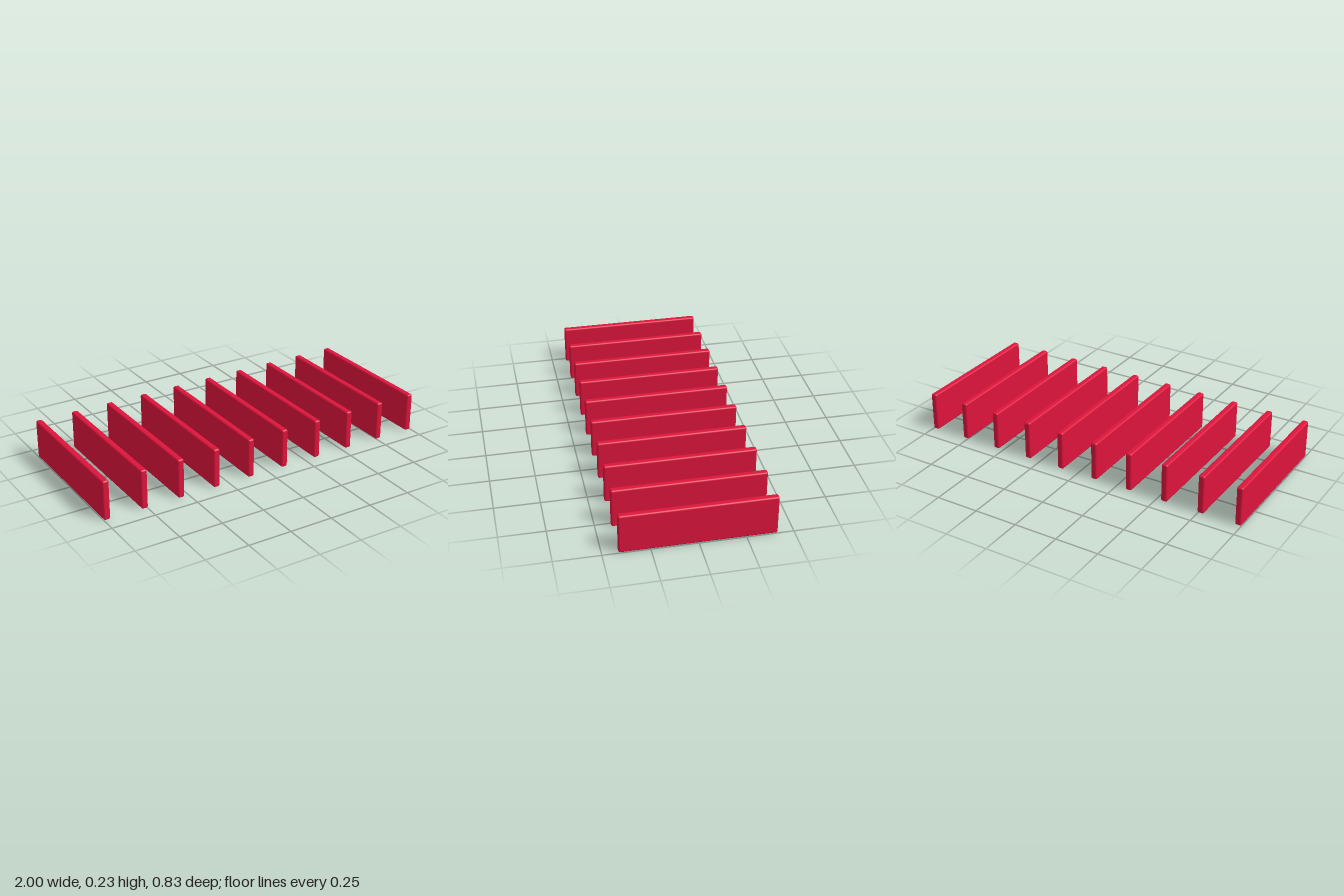
import * as THREE from 'three';
import { RoundedBoxGeometry } from 'three/addons/geometries/RoundedBoxGeometry.js';

export function createModel() {
  const model = new THREE.Group();
  model.name = 'dominoRow';

  const count = 10;
  const thickness = 0.037, height = 0.226, depth = 0.83;
  const spacing = (2 - thickness) / (count - 1);
  const material = new THREE.MeshStandardMaterial({ color: 0xdc143c });

  // One upright slab with softly rounded edges, shared by the whole row
  const geometry = new RoundedBoxGeometry(thickness, height, depth, 4, 0.01);

  // Evenly spaced parallel slabs standing on the ground
  for (let i = 0; i < count; i++) {
    const slab = new THREE.Mesh(geometry, material);
    slab.name = `slab${i + 1}`;
    slab.position.set((i - (count - 1) / 2) * spacing, height / 2, 0);
    model.add(slab);
  }
  return model;
}
